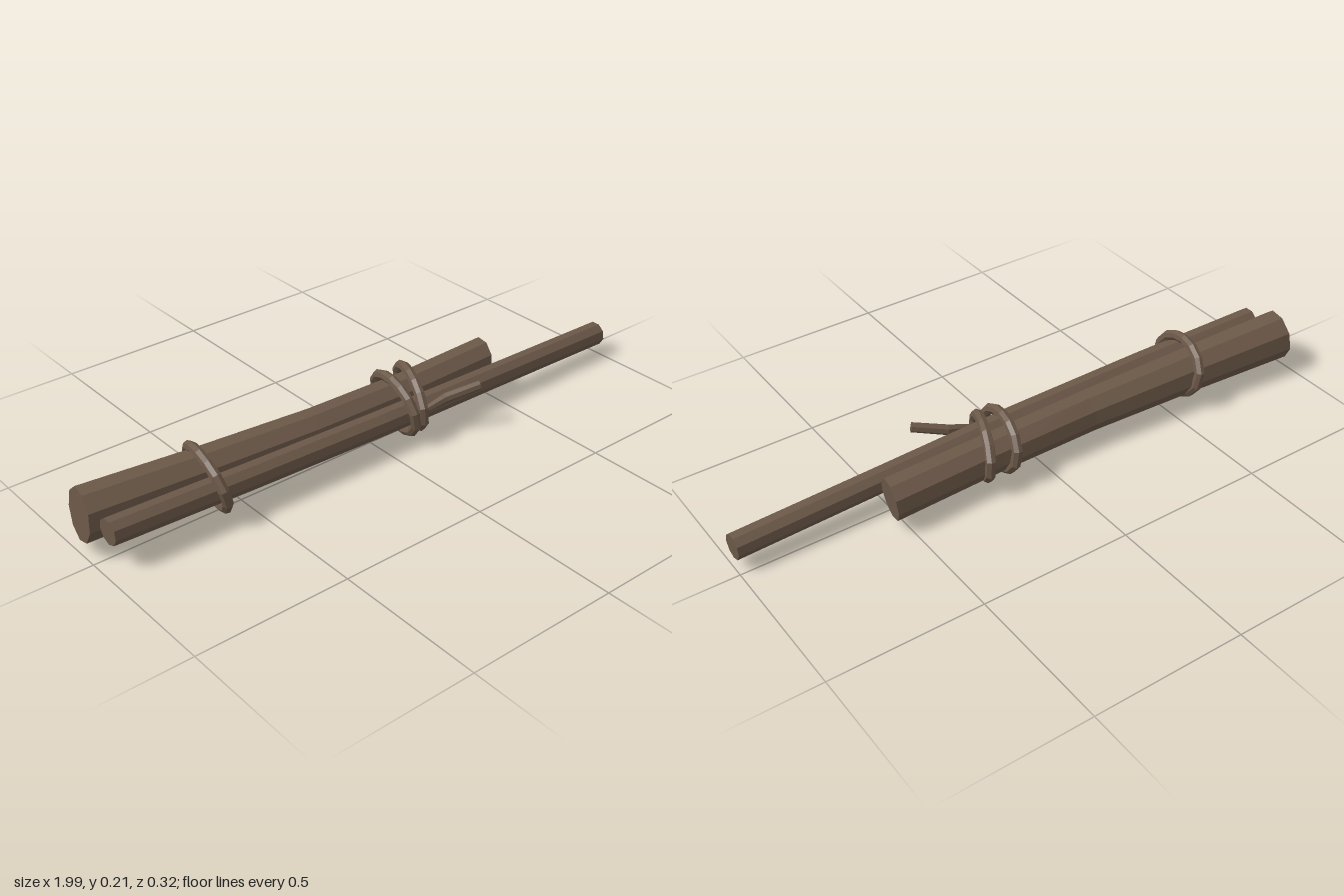
import * as THREE from 'three';

const bark = new THREE.MeshStandardMaterial({ color: 0x6b5848 });
bark.name = 'bark brown';
bark.flatShading = true;

// Capped limb: sections are [x, y, z, radius], all facing along the same axis
function limb(name, sections, axis, sides, turn = 0) {
  const t = new THREE.Vector3(...axis).normalize();
  const s = new THREE.Vector3().crossVectors(t, new THREE.Vector3(0, 1, 0)).normalize();
  const u = new THREE.Vector3().crossVectors(s, t);
  const pos = [];
  const index = [];
  for (const [x, y, z, r] of sections) {
    for (let j = 0; j < sides; j++) {
      const a = ((j + turn) / sides) * Math.PI * 2;
      const p = new THREE.Vector3(x, y, z)
        .addScaledVector(u, r * Math.cos(a))
        .addScaledVector(s, r * Math.sin(a));
      pos.push(p.x, p.y, p.z);
    }
  }
  const n = sections.length;
  const first = n * sides;
  pos.push(...sections[0].slice(0, 3), ...sections[n - 1].slice(0, 3));
  for (let j = 0; j < sides; j++) {
    const k = (j + 1) % sides;
    for (let i = 0; i < n - 1; i++) {
      const a = i * sides + j, b = i * sides + k;
      index.push(a, b, a + sides, b, b + sides, a + sides);
    }
    index.push(first, k, j, first + 1, (n - 1) * sides + j, (n - 1) * sides + k);
  }
  const geo = new THREE.BufferGeometry();
  geo.setAttribute('position', new THREE.Float32BufferAttribute(pos, 3));
  geo.setIndex(index);
  const flat = geo.toNonIndexed();
  flat.computeVertexNormals();
  const mesh = new THREE.Mesh(flat, bark);
  mesh.name = name;
  return mesh;
}

// Rope loop around both logs, leaning along x with height and depth
function loop(name, x, y, z, ry, rz, leanY, leanZ) {
  const pts = [];
  for (let i = 0; i < 12; i++) {
    const a = (i / 12) * Math.PI * 2;
    const dy = Math.cos(a) * ry;
    const dz = Math.sin(a) * rz;
    pts.push(new THREE.Vector3(x + leanY * dy + leanZ * dz, y + dy - dz * 0.06, z + dz));
  }
  const curve = new THREE.CatmullRomCurve3(pts, true);
  const mesh = new THREE.Mesh(new THREE.TubeGeometry(curve, 14, 0.017, 7, true), bark);
  mesh.name = name;
  return mesh;
}

export function createModel() {
  const model = new THREE.Group();
  model.name = 'lashedLogs';

  // Thick log, bowed, with slanted ends
  model.add(limb('thickLog', [
    [-0.983, 0.12, -0.085, 0.083],
    [-0.6, 0.112, -0.064, 0.075],
    [-0.2, 0.105, -0.048, 0.068],
    [0.15, 0.1, -0.048, 0.066],
    [0.535, 0.1, -0.06, 0.068],
  ], [1, -0.08, 0.16], 9, 0.5));

  // Thin log, longer, reaching past the thick one
  model.add(limb('thinLog', [
    [-0.965, 0.12, 0.038, 0.042],
    [-0.5, 0.112, 0.05, 0.042],
    [0, 0.102, 0.055, 0.042],
    [0.5, 0.09, 0.048, 0.041],
    [0.995, 0.078, 0.041, 0.041],
  ], [1, 0, 0], 9, 0.5));

  // Rope lashings
  model.add(loop('leftLashing', -0.597, 0.115, -0.023, 0.086, 0.122, -0.24, -0.14));
  model.add(loop('innerLashing', 0.11, 0.105, -0.008, 0.085, 0.121, -0.15, -0.15));
  model.add(loop('outerLashing', 0.176, 0.107, -0.01, 0.083, 0.12, -0.05, -0.4));

  // Loose rope end
  model.add(limb('ropeEnd', [
    [0.15, 0.105, 0.088, 0.012],
    [0.23, 0.125, 0.098, 0.017],
    [0.335, 0.153, 0.143, 0.016],
  ], [1, 0.25, 0.5], 7));

  return model;
}
